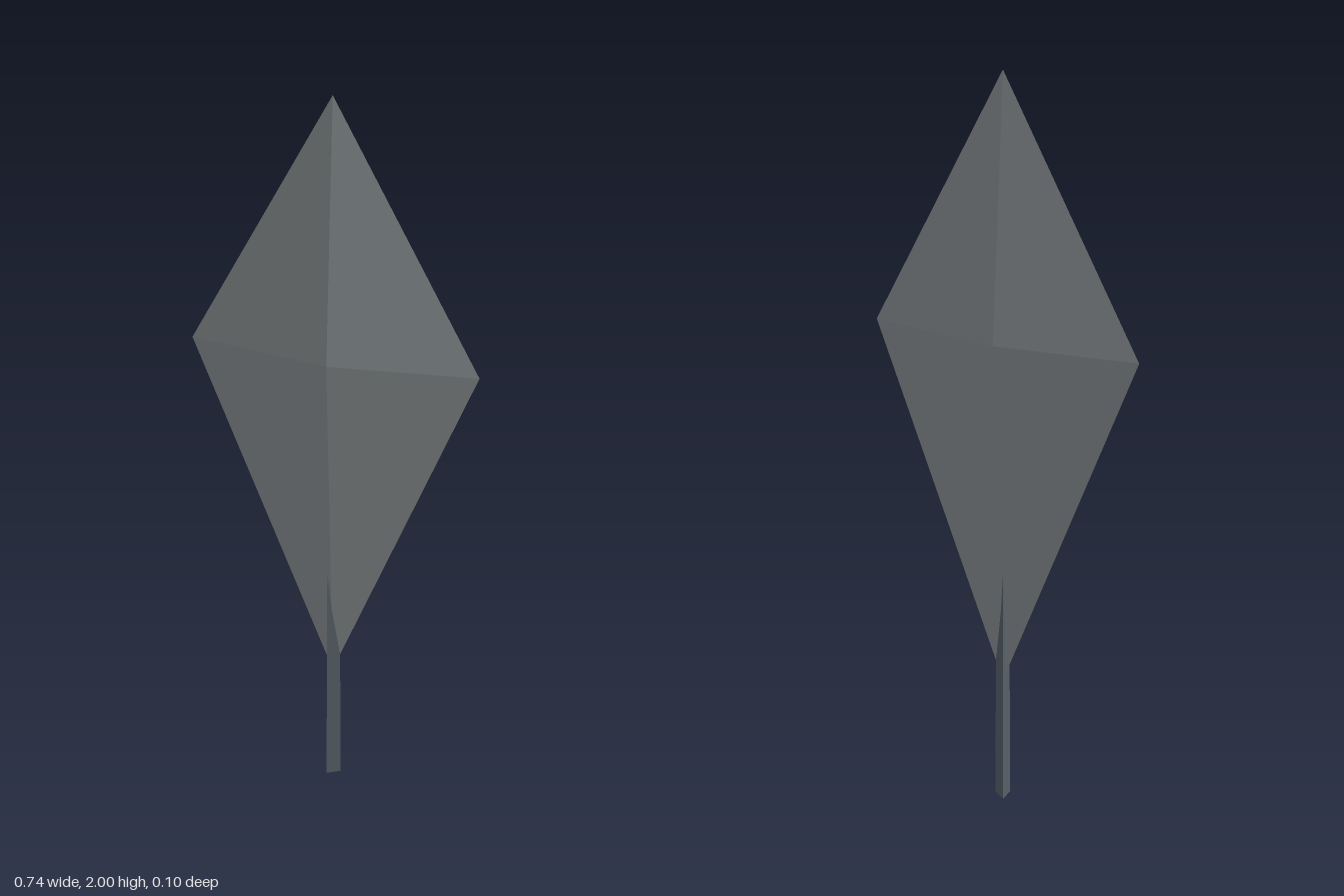
import * as THREE from 'three';

const steel = new THREE.MeshStandardMaterial({ color: 0x888e91 });
steel.name = 'steel grey';
const slate = new THREE.MeshStandardMaterial({ color: 0x566068 });
slate.name = 'dark slate';

// Bipyramid with a diamond cross-section: wide in x, thin in z
function bladeGeometry(top, waist, bottom, halfWidth, halfDepth) {
  const ring = [
    [halfWidth, waist, 0], [0, waist, halfDepth],
    [-halfWidth, waist, 0], [0, waist, -halfDepth],
  ];
  const points = [];
  for (let i = 0; i < 4; i++) {
    const a = ring[i], b = ring[(i + 1) % 4];
    points.push(...[0, top, 0], ...b, ...a);
    points.push(...[0, bottom, 0], ...a, ...b);
  }
  const geometry = new THREE.BufferGeometry();
  geometry.setAttribute('position', new THREE.Float32BufferAttribute(points, 3));
  geometry.computeVertexNormals(); // unshared corners give flat facets
  return geometry;
}

// Tapered three-sided rod, with one edge towards +x
function stemGeometry(height, bottomRadius, topRadius) {
  const geometry = new THREE.CylinderGeometry(
    topRadius, bottomRadius, height, 3, 1, false, Math.PI / 2,
  ).toNonIndexed();
  geometry.translate(0, height / 2, 0);
  geometry.computeVertexNormals();
  return geometry;
}

export function createModel() {
  const model = new THREE.Group();
  model.name = 'leafOnStem';

  // Faceted leaf blade
  const blade = new THREE.Mesh(bladeGeometry(2, 1.335, 0.365, 0.37, 0.0525), steel);
  blade.name = 'blade';

  // Stem runs up inside the blade and just breaks its surface near both ends
  const stem = new THREE.Mesh(stemGeometry(1.87, 0.024, 0.012), slate);
  stem.name = 'stem';

  model.add(blade, stem);
  return model;
}
